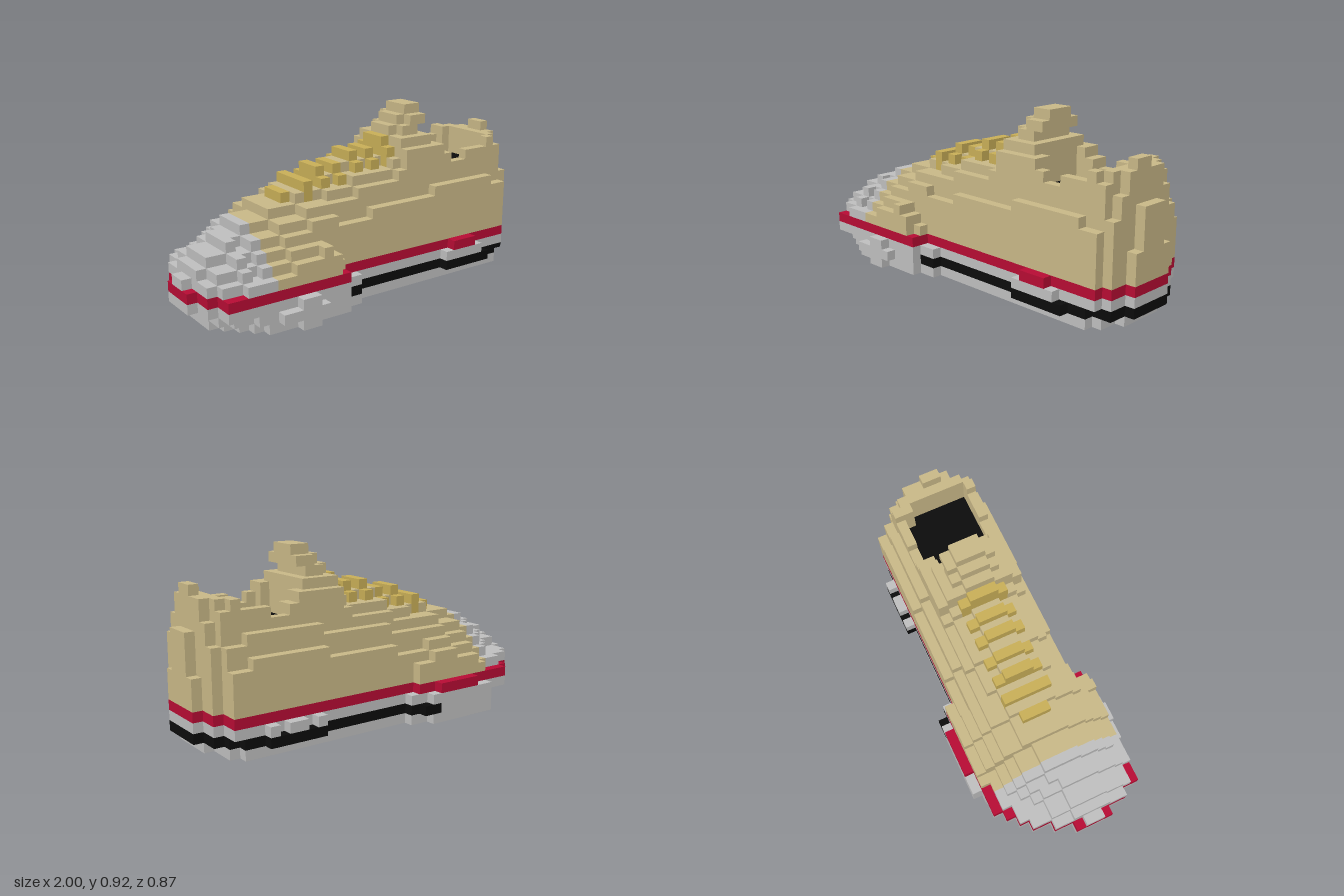
import * as THREE from 'three';
import { mergeGeometries } from 'three/addons/utils/BufferGeometryUtils.js';

const V = 2 / 39; // block size; the grid is 39 long (x), 18 high (y), 17 wide (z)

const mat = (name, color) => {
  const m = new THREE.MeshStandardMaterial({ color });
  m.name = name;
  return m;
};

// Expand [lastColumn, min, max] runs into one span per column
function spans(runs) {
  const out = [];
  for (const [last, a, b] of runs) while (out.length <= last) out.push([a, b]);
  return out;
}

// Outsole, rounded and tucked in at toe and heel (columns 2 to 37)
const OUTSOLE = spans([[2, 7, 11], [3, 5, 12], [4, 4, 13], [5, 3, 14], [6, 2, 15], [7, 1, 15], [8, 0, 15],
  [10, 0, 16], [14, 0, 15], [15, 0, 14], [16, 1, 14], [17, 1, 13], [35, 2, 13], [36, 3, 12], [37, 6, 10]]);
// Layer above the outsole: grey at the front, black line from column 15 to the heel
const LINE = spans([[2, 6, 13], [3, 5, 14], [4, 4, 14], [5, 3, 15], [6, 2, 15], [7, 1, 16], [11, 0, 16],
  [14, 0, 15], [16, 0, 14], [17, 1, 13], [27, 2, 13], [33, 1, 14], [35, 2, 13], [36, 3, 12],
  [37, 4, 12], [38, 6, 10]]);
// Midsole under the red stripe
const MIDSOLE = spans([[0, 8, 11], [1, 6, 13], [2, 4, 15], [3, 3, 15], [4, 2, 15], [7, 1, 15],
  [8, 0, 15], [10, 0, 16], [14, 0, 15], [15, 0, 14], [16, 1, 14], [17, 1, 13], [27, 2, 13], [28, 1, 14],
  [29, 2, 14], [31, 1, 14], [32, 2, 14], [33, 1, 13], [36, 2, 13], [37, 4, 12], [38, 6, 10]]);
// Red stripe
const RED = spans([[0, 8, 11], [1, 6, 13], [2, 4, 15], [3, 3, 15], [4, 2, 15], [9, 1, 15], [14, 0, 15],
  [16, 1, 13], [28, 2, 13], [31, 2, 14], [36, 2, 13], [37, 4, 12], [38, 6, 10]]);
// Toe cap and upper
const UPPER = spans([[0, 9, 10], [1, 6, 13], [2, 4, 14], [3, 3, 14], [4, 3, 15], [7, 2, 15], [13, 1, 15],
  [14, 1, 14], [16, 1, 13], [36, 2, 13], [37, 4, 12], [38, 6, 10]]);

// Ridge height per column, from toe over the instep and tongue to the collar
const RIDGE = [5, 6, 7, 7, 8, 8, 9, 9, 9, 10, 10, 10, 11, 11, 11, 12, 12, 12, 13, 13, 13, 13, 13, 14,
  16, 17, 18, 18, 14, 13, 12, 12, 13, 13, 13, 14, 14, 15, 11];
// Height limit across the width
const CAP = [6, 7, 9, 11, 14, 15, 17, 18, 18, 18, 17, 15, 14, 11, 8, 7, 6];
// Heel counter, across columns of width 4 to 12
const HEEL = [10, 12, 14, 14, 15, 15, 14, 12, 10];

function upperHeight(i, k) {
  if (i === 38) return k > 6 && k < 10 ? 11 : 7;
  if (i === 37) return HEEL[k - 4];
  if (i === 36 && (k === 4 || k === 12)) return 13;
  // Side walls rise in steps towards the collar
  if (i >= 15) {
    const rise = i < 19 ? 0 : i < 27 ? 1 : i < 35 ? 2 : 1;
    if (k === 2) return 7 + rise;
    if (k === 3) return 9 + rise;
    if (k === 13) return 8 + rise;
  }
  const centre = i < 5 ? 9.5 : i < 9 ? 8.5 : 8;
  const bend = i < 15 ? 0.085 : i < 28 ? 0.13 : 0;
  const d = Math.abs(k - centre);
  const flank = k >= 14 && i > 11 ? 19 - i : 18;
  return Math.max(5, Math.min(CAP[k], flank, Math.round(RIDGE[i] - bend * d * d)));
}

// Foot opening with clipped corners
function inOpening(i, k) {
  if (i < 28 || i > 35 || k < 5 || k > 11) return false;
  if (k === 5) return i > 29 && i < 35;
  if (k === 11) return i > 28;
  return true;
}

function fillBlocks() {
  const blocks = new Map();
  const put = (i, j, k, part) => blocks.set(`${i},${j},${k}`, [i, j, k, part]);
  const row = (i, j, [a, b], part) => { for (let k = a; k <= b; k++) put(i, j, k, part); };

  for (let i = 0; i < 39; i++) {
    // Sole layers
    if (i >= 2 && i < 38) row(i, 0, OUTSOLE[i], 'outsole');
    if (i >= 2) row(i, 1, LINE[i], i < 15 ? 'midsole' : 'blackLine');
    row(i, 2, MIDSOLE[i], 'midsole');
    row(i, 3, RED[i], 'redStripe');

    // Toe cap, upper, laces and insole
    const [a, b] = UPPER[i];
    for (let k = a; k <= b; k++) {
      const open = inOpening(i, k);
      const lace = i >= 11 && i <= 23 && i % 2 === 1 && Math.abs(k - 8) <= (i === 11 ? 1 : 2);
      const h = open ? 11 : upperHeight(i, k) + (lace ? 1 : 0);
      for (let j = 4; j < h; j++) {
        if (i === 27 && j === 15) continue; // notch under the tongue tip
        let part = i < 7 ? 'toeCap' : 'upper';
        if (i > 23 && i < 28 && j > 13) part = 'tongue';
        if (lace && j >= h - 2) part = 'laces';
        if (open && j === 10) part = 'insole';
        put(i, j, k, part);
      }
    }
  }
  return blocks;
}

// The six outward faces of one block
function blockFaces() {
  const half = Math.PI / 2;
  return [
    [[1, 0, 0], 'Y', half], [[-1, 0, 0], 'Y', -half],
    [[0, 1, 0], 'X', -half], [[0, -1, 0], 'X', half],
    [[0, 0, 1], 'Y', 0], [[0, 0, -1], 'Y', Math.PI],
  ].map(([n, axis, angle]) => {
    const geometry = new THREE.PlaneGeometry(V, V);
    geometry['rotate' + axis](angle);
    geometry.translate(n[0] * V / 2, n[1] * V / 2, n[2] * V / 2);
    return { n, geometry };
  });
}

export function createModel() {
  const grey = mat('light grey rubber', 0xc0c0c0);
  const tan = mat('tan canvas', 0xcab988);
  const black = mat('black', 0x0c0c0c);
  const materials = {
    outsole: grey, midsole: grey, toeCap: grey, upper: tan, tongue: tan, blackLine: black, insole: black,
    redStripe: mat('red', 0xb80c34), laces: mat('golden lace', 0xcab058),
  };

  // Keep only the faces that touch air, gathered by part
  const blocks = fillBlocks();
  const faces = blockFaces();
  const parts = {};
  for (const [i, j, k, part] of blocks.values()) {
    for (const { n, geometry } of faces) {
      if (blocks.has(`${i + n[0]},${j + n[1]},${k + n[2]}`)) continue;
      (parts[part] ??= []).push(
        geometry.clone().translate((i - 19) * V, (j + 0.5) * V, (k - 8) * V));
    }
  }

  const shoe = new THREE.Group();
  shoe.name = 'shoe';
  for (const [name, list] of Object.entries(parts)) {
    const mesh = new THREE.Mesh(mergeGeometries(list), materials[name]);
    mesh.name = name;
    shoe.add(mesh);
  }
  return shoe;
}
